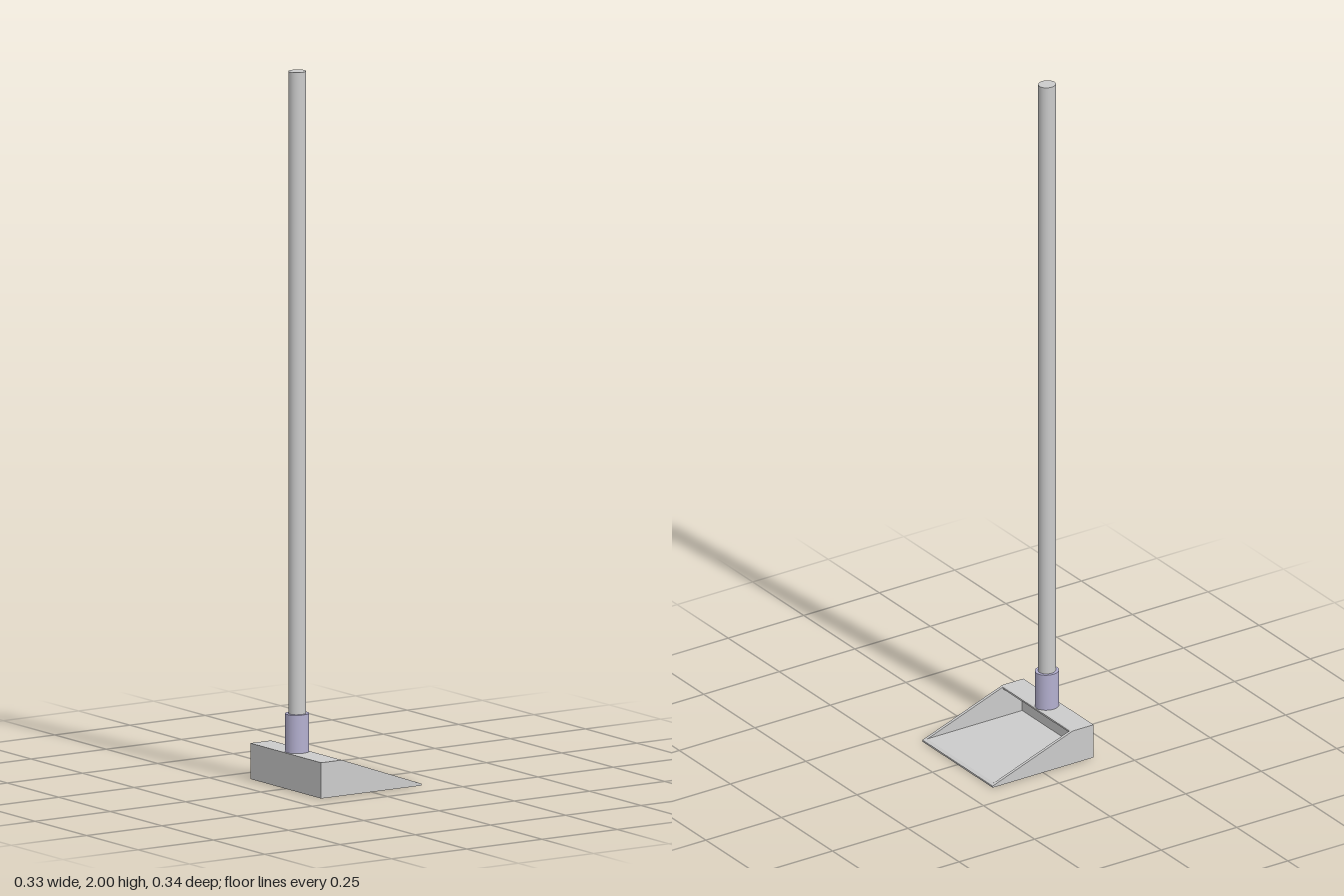
import * as THREE from 'three';

const HALF_DEPTH = 0.172;
const WALL = 0.009;

function material(color = 0xcccccc) {
  return new THREE.MeshStandardMaterial({ color });
}

// Extrudes a side profile (x, y) along z between z0 and z1.
function extrudeProfile(name, points, z0, z1) {
  const shape = new THREE.Shape(points.map(([x, y]) => new THREE.Vector2(x, y)));
  const geometry = new THREE.ExtrudeGeometry(shape, { depth: z1 - z0, bevelEnabled: false });
  geometry.translate(0, 0, z0);
  const mesh = new THREE.Mesh(geometry, material());
  mesh.name = name;
  return mesh;
}

// Upright oval tube or rod, from a lathe-like cylinder squeezed in z.
function ovalRod(name, rx, rz, y0, y1, color) {
  const geometry = new THREE.CylinderGeometry(rx, rx, y1 - y0, 32);
  geometry.scale(1, 1, rz / rx);
  geometry.translate(-0.129, (y0 + y1) / 2, 0);
  const mesh = new THREE.Mesh(geometry, material(color));
  mesh.name = name;
  return mesh;
}

export function createModel() {
  const model = new THREE.Group();
  model.name = 'dustpan';

  // Pan: floor, back wall and short deck in one hollow section
  const pan = new THREE.Group();
  pan.name = 'pan';
  const inner = HALF_DEPTH - WALL;
  pan.add(extrudeProfile('panShell', [
    [-0.167, 0], [0.167, 0], [0.167, 0.005], [0.157, 0.009], [-0.157, 0.009],
    [-0.157, 0.093], [-0.093, 0.093], [-0.093, 0.098], [-0.098, 0.1], [-0.167, 0.1],
  ], -inner, inner));

  // Wedge-shaped side walls
  const side = [[-0.167, 0], [0.167, 0], [0.167, 0.005], [-0.098, 0.1], [-0.167, 0.1]];
  pan.add(extrudeProfile('leftWall', side, inner, HALF_DEPTH));
  pan.add(extrudeProfile('rightWall', side, -HALF_DEPTH, -inner));
  model.add(pan);

  // Socket and long handle
  model.add(ovalRod('handleSocket', 0.034, 0.031, 0.095, 0.207, 0xb4b0d0));
  model.add(ovalRod('handle', 0.025, 0.023, 0.2, 2, 0xcccccc));

  return model;
}
